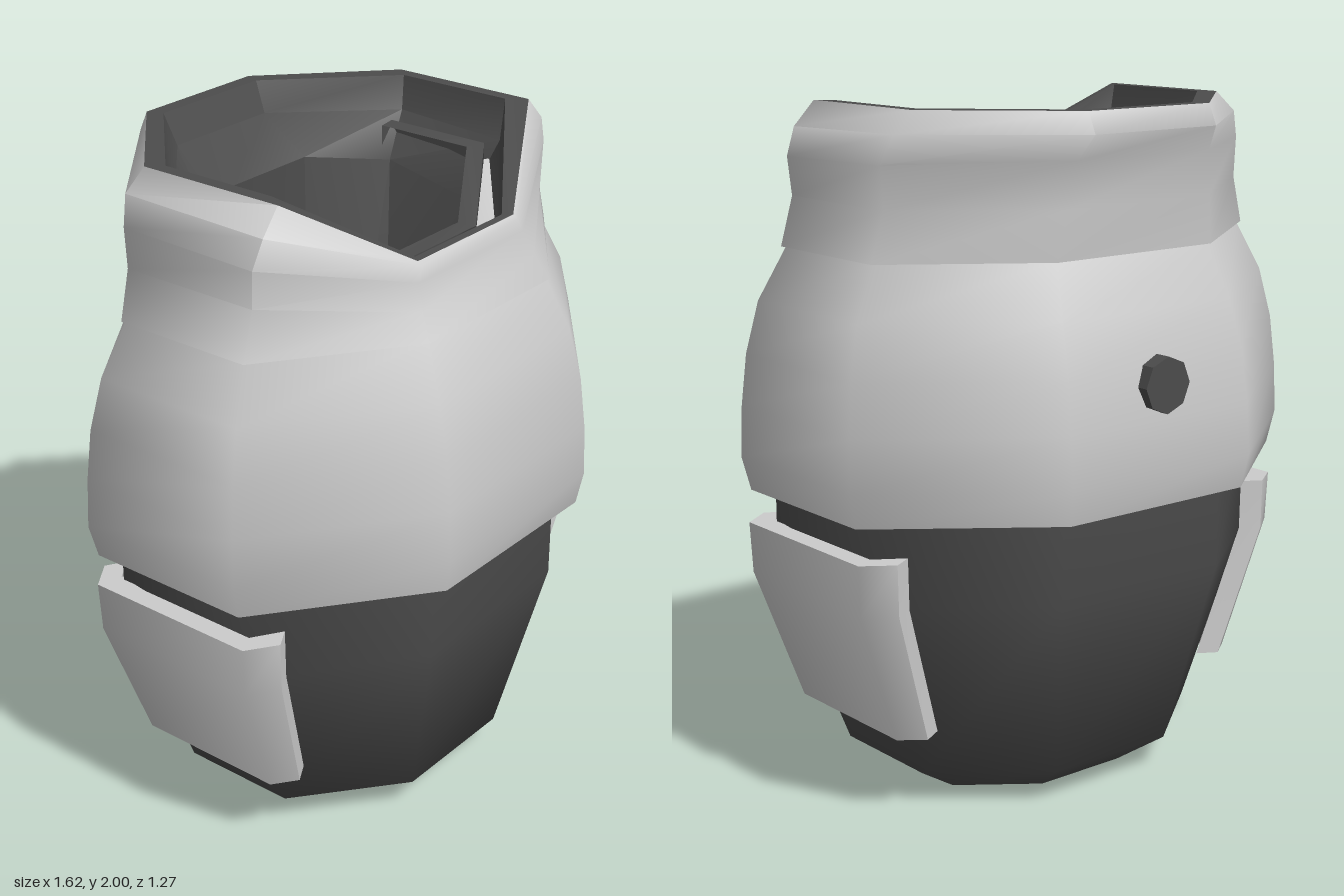
import * as THREE from 'three';
import { toCreasedNormals } from 'three/addons/utils/BufferGeometryUtils.js';

const grey = new THREE.MeshStandardMaterial({ color: 0xcccccc });
const dark = new THREE.MeshStandardMaterial({ color: 0x4c4c4c });

// Elongated octagon: half width x, front and back depth, corner ratios.
// y is one height, or [front, side front, side back, back].
function octagon(y, x, zF, zB, cx = 0.41 * x, czF = 0.43 * zF, czB = 0.43 * zB) {
  const [f, sf, sb, b] = Array.isArray(y) ? y : [y, y, y, y];
  return [
    [x, sf, czF], [x, sb, -czB], [cx, b, -zB], [-cx, b, -zB],
    [-x, sb, -czB], [-x, sf, czF], [-cx, f, zF], [cx, f, zF],
  ];
}

// Skin through rings of equal point count; optional flat end caps.
function loft(rings, capped = false, crease = 1.1) {
  const n = rings[0].length;
  const index = [];
  for (let r = 0; r < rings.length - 1; r++) {
    for (let i = 0; i < n; i++) {
      const a = r * n + i, b = r * n + (i + 1) % n;
      index.push(a, b, b + n, a, b + n, a + n);
    }
  }
  if (capped) {
    // Counter-clockwise seen from above
    const flat = rings[0].map(p => new THREE.Vector2(p[0], -p[2]));
    const top = (rings.length - 1) * n;
    for (const [a, b, c] of THREE.ShapeUtils.triangulateShape(flat, [])) {
      index.push(a, c, b, top + a, top + b, top + c);
    }
  }
  const g = new THREE.BufferGeometry();
  g.setAttribute('position', new THREE.Float32BufferAttribute(rings.flat(2), 3));
  g.setIndex(index);
  return toCreasedNormals(g, crease);
}

export function createModel() {
  const group = new THREE.Group();
  const add = (name, geometry, material) => {
    const mesh = new THREE.Mesh(geometry, material);
    mesh.name = name;
    group.add(mesh);
    return mesh;
  };

  // Tapered lower body and its flat underside
  const foot = octagon(0, 0.36, 0.293, 0.277);
  add('lowerBody', loft([
    foot,
    octagon(0.1, 0.515, 0.433, 0.417),
    octagon(0.65, 0.72, 0.555, 0.54),
    octagon(1.0, 0.72, 0.555, 0.54),
  ]), dark);
  add('bottomPlate', loft([octagon(0, 0.001, 0.001, 0.001), foot]), dark);

  // Rounded middle shell with a dark underside
  const hem = octagon(0.9, 0.785, 0.62, 0.605);
  add('middleShell', loft([
    hem,
    octagon(1.0, 0.81, 0.637, 0.625),
    octagon(1.15, 0.805, 0.63, 0.615),
    octagon(1.3, 0.79, 0.612, 0.595),
    octagon(1.45, 0.755, 0.575, 0.553),
    octagon(1.6, 0.675, 0.508, 0.49),
  ]), grey);
  add('shellUnderside', loft([
    octagon(1.0, 0.71, 0.55, 0.535), octagon(0.905, 0.74, 0.58, 0.565), hem,
  ]), dark);

  // Collar, cut low at the front
  const collarFoot = octagon(1.6, 0.69, 0.515, 0.5);
  const collarTop = octagon([1.79, 2, 2, 2], 0.56, 0.425, 0.547, 0.22, 0.235, 0.23);
  add('collar', loft([
    collarFoot,
    octagon([1.67, 1.74, 1.74, 1.74], 0.65, 0.475, 0.515, 0.26, 0.22, 0.22),
    octagon([1.74, 1.85, 1.86, 1.87], 0.657, 0.445, 0.53, 0.24, 0.23, 0.22),
    octagon([1.78, 1.93, 1.94, 1.94], 0.625, 0.44, 0.575, 0.22, 0.24, 0.24),
    collarTop,
  ]), grey);
  add('collarUnderside', loft([octagon(1.6, 0.62, 0.46, 0.45), collarFoot]), dark);

  // Rim and funnel-shaped lining
  add('collarLining', loft([
    collarTop,
    octagon([1.79, 2, 2, 2], 0.52, 0.4, 0.5, 0.2, 0.18, 0.19),
    octagon([1.72, 1.88, 1.9, 1.91], 0.5, 0.39, 0.46, 0.19, 0.18, 0.18),
    octagon([1.62, 1.72, 1.78, 1.82], 0.39, 0.28, 0.28, 0.16, 0.15, 0.14),
    octagon(0.02, 0.31, 0.25, 0.24, 0.13, 0.11, 0.1),
  ], false, 0.6), dark);

  // U-shaped guard standing inside the neck, open at the back
  const guardRing = (front, side) => [
    [0.45, side, -0.18], [0.39, side, -0.17], [0.39, side, 0.14], [0.16, front, 0.28],
    [-0.16, front, 0.28], [-0.39, side, 0.14], [-0.39, side, -0.17], [-0.45, side, -0.18],
    [-0.45, side, 0.16], [-0.17, front, 0.335], [0.17, front, 0.335], [0.45, side, 0.16],
  ].reverse();
  add('neckGuard', loft([guardRing(1.6, 1.65), guardRing(1.75, 1.88)], true, 0.6), dark);

  // Pale ledge between the guard and the front of the collar
  const ledgeRing = (front, side) => [
    [0.51, side, 0.18], [0.45, side, 0.16], [0.17, front, 0.335], [-0.17, front, 0.335],
    [-0.45, side, 0.16], [-0.51, side, 0.18], [-0.19, front, 0.395], [0.19, front, 0.395],
  ].reverse();
  const ledge = loft([ledgeRing(1.69, 1.79), ledgeRing(1.72, 1.83)], true, 0.6);
  add('neckLedge', ledge, grey);

  // Side pads wrapped around the flanks: y, outer x, outer corner z, end x, end z, thickness
  const padRing = (y, x, cz, ex, ez, t) => {
    const half = [[x, y, cz], [ex, y, ez], [ex - t, y, ez - 0.035], [x - t, y, cz - 0.03]];
    const back = half.map(([px, py, pz]) => [px, py, -pz]);
    return [...back, ...half.reverse()];
  };
  for (const [name, turn] of [['leftPad', 0], ['rightPad', Math.PI]]) {
    const pad = add(name, loft([
      padRing(0.25, 0.64, 0.235, 0.57, 0.287, 0.06),
      padRing(0.65, 0.78, 0.272, 0.697, 0.335, 0.06),
      padRing(0.8, 0.787, 0.275, 0.7, 0.335, 0.06),
    ], true, 1.0), grey);
    pad.rotation.y = turn;
    pad.position.z = 0.005;
  }

  // Round button on the back
  const button = add('backButton',
    toCreasedNormals(new THREE.CylinderGeometry(0.081, 0.081, 0.06, 8), 0.5), dark);
  button.rotation.x = Math.PI / 2;
  button.position.set(0, 1.25, -0.605);

  return group;
}
